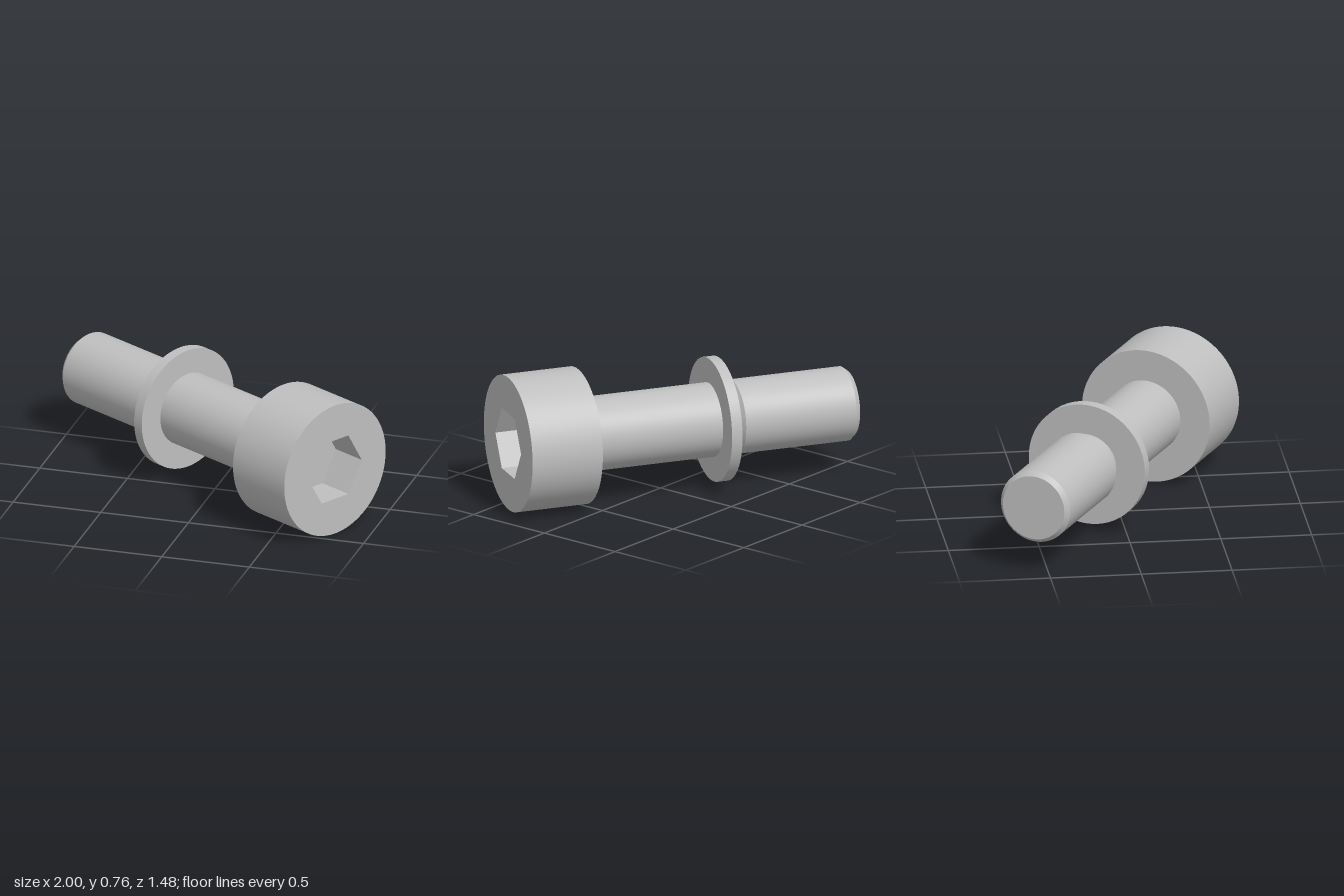
import * as THREE from 'three';

const R = 0.379;      // head radius
const SOCKET = 0.2;   // hex socket corner radius
const DEPTH = 0.207;  // hex socket depth

// Turned part around z from [radius, z] points, ordered back to front, with sharp corners
function turned(profile) {
  const pts = [];
  profile.forEach(([r, z], i) => {
    pts.push(new THREE.Vector2(r, z));
    if (i > 0 && i < profile.length - 1) pts.push(new THREE.Vector2(r, z));
  });
  const geo = new THREE.LatheGeometry(pts, 96);
  geo.normalizeNormals();
  return geo.rotateX(Math.PI / 2);
}

export function createModel() {
  const steel = new THREE.MeshStandardMaterial({ color: 0xbfbfbf, side: THREE.DoubleSide });
  const model = new THREE.Group();
  model.name = 'socketScrewWithWasher';

  // The screw axis runs along local z, with the head face at z = 0
  const screw = new THREE.Group();
  screw.name = 'screw';
  screw.position.set(0.81, 0.38, 0.411);
  screw.rotation.y = Math.PI / 3;
  model.add(screw);

  const add = (name, geo) => {
    const mesh = new THREE.Mesh(geo, steel);
    mesh.name = name;
    screw.add(mesh);
    return mesh;
  };

  // Cylindrical head: back and side
  add('headBody', turned([[0, -0.41], [R, -0.41], [R, 0]]));

  // Head face with hexagonal opening
  const face = new THREE.Shape().absarc(0, 0, R, 0, Math.PI * 2);
  const hex = [];
  for (let i = 0; i < 6; i++) {
    const a = i * Math.PI / 3;
    hex.push(new THREE.Vector2(SOCKET * Math.cos(a), SOCKET * Math.sin(a)));
  }
  face.holes.push(new THREE.Path(hex));
  add('headFace', new THREE.ShapeGeometry(face, 96));

  // Hex socket walls and floor
  const walls = new THREE.CylinderGeometry(SOCKET, SOCKET, DEPTH, 6, 1, true, Math.PI / 2)
    .rotateX(Math.PI / 2).toNonIndexed();
  walls.computeVertexNormals();
  add('socketWalls', walls).position.z = -DEPTH / 2;
  add('socketFloor', new THREE.CircleGeometry(SOCKET, 6)).position.z = -DEPTH;

  // Shank with chamfered tip and a narrow neck behind the washer
  add('shank', turned([
    [0, -1.985], [0.182, -1.985], [0.205, -1.957],
    [0.205, -1.312], [0.17, -1.285],
    [0.17, -1.178], [0.205, -1.178], [0.205, -0.41],
  ]));

  // Captive flat washer
  add('washer', turned([
    [0.175, -1.177], [0.175, -1.238], [0.344, -1.238], [0.344, -1.177], [0.175, -1.177],
  ]));

  return model;
}
